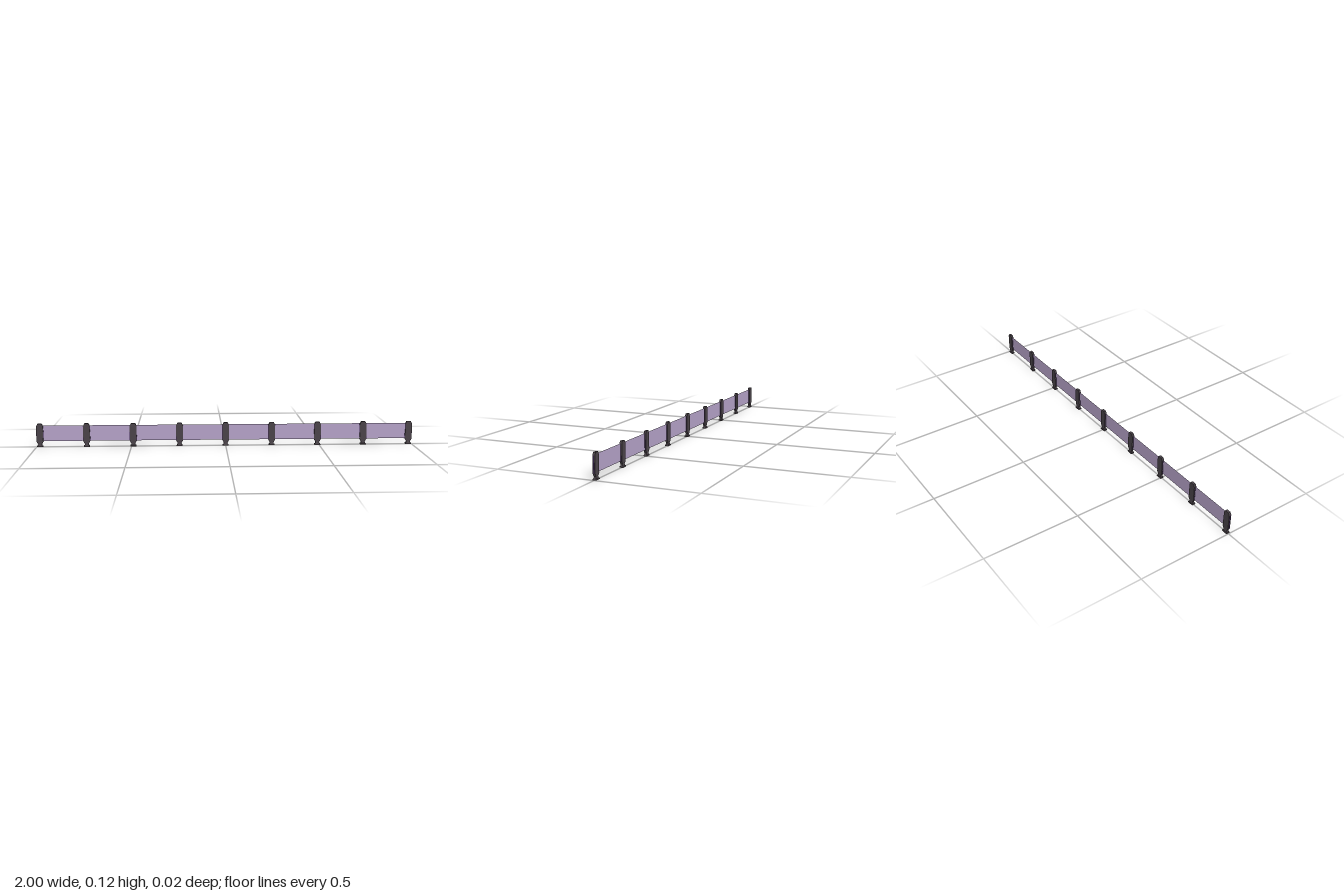
import * as THREE from 'three';

const POSTS = 9, SPACING = 0.2453;
const POST_HALF = 0.0175, POST_BOTTOM = 0.016, POST_TOP = 0.124;

// Post outline with chamfered corners, extruded through its depth
function postGeometry(depth) {
  const w = POST_HALF, c = 0.007, d = 0.013;
  const outline = [
    [-w + c, POST_BOTTOM], [w - c, POST_BOTTOM], [w, POST_BOTTOM + d], [w, POST_TOP - d],
    [w - c, POST_TOP], [-w + c, POST_TOP], [-w, POST_TOP - d], [-w, POST_BOTTOM + d],
  ].map(([x, y]) => new THREE.Vector2(x, y));
  const geo = new THREE.ExtrudeGeometry(new THREE.Shape(outline), { depth, bevelEnabled: false });
  return geo.translate(0, 0, -depth / 2);
}

// Four-sided tapered block standing on y
function taperedBlock(bottom, top, y, height) {
  const geo = new THREE.BoxGeometry(1, height, 1);
  const p = geo.attributes.position;
  for (let i = 0; i < p.count; i++) {
    const [w, d] = p.getY(i) > 0 ? top : bottom;
    p.setX(i, p.getX(i) * w);
    p.setZ(i, p.getZ(i) * d);
  }
  geo.translate(0, y + height / 2, 0);
  geo.computeVertexNormals();
  return geo;
}

export function createModel() {
  const model = new THREE.Group();
  model.name = 'barrierFence';

  const dark = new THREE.MeshStandardMaterial({ color: 0x4a4349, flatShading: true });
  const trim = new THREE.MeshStandardMaterial({ color: 0x35204a, flatShading: true });
  const panelMaterial = new THREE.MeshStandardMaterial({ color: 0xb6a3c9, side: THREE.DoubleSide });

  const add = (parent, name, geometry, material, x = 0, y = 0, z = 0) => {
    const mesh = new THREE.Mesh(geometry, material);
    mesh.name = name;
    mesh.position.set(x, y, z);
    parent.add(mesh);
  };

  const body = postGeometry(0.0125);
  const foot = taperedBlock([0.032, 0.019], [0.03, 0.018], 0, 0.006);
  const neck = taperedBlock([0.024, 0.013], [0.018, 0.009], 0.006, 0.011);
  const strip = new THREE.BoxGeometry(0.003, 0.082, 0.005);

  for (let i = 0; i < POSTS; i++) {
    const x = (i - (POSTS - 1) / 2) * SPACING;

    // Upright with a foot plate and narrow side strips
    const post = new THREE.Group();
    post.name = 'post';
    post.position.x = x;
    add(post, 'postBody', body, dark);
    add(post, 'footPlate', foot, dark);
    add(post, 'neck', neck, dark);
    for (const side of [-1, 1]) add(post, 'sideStrip', strip, trim, side * (POST_HALF - 0.0003), 0.07);
    model.add(post);

    // Thin panel spanning to the next post
    if (i < POSTS - 1) {
      add(model, 'panel', new THREE.PlaneGeometry(SPACING, 0.083), panelMaterial, x + SPACING / 2, 0.0725);
    }
  }
  return model;
}
